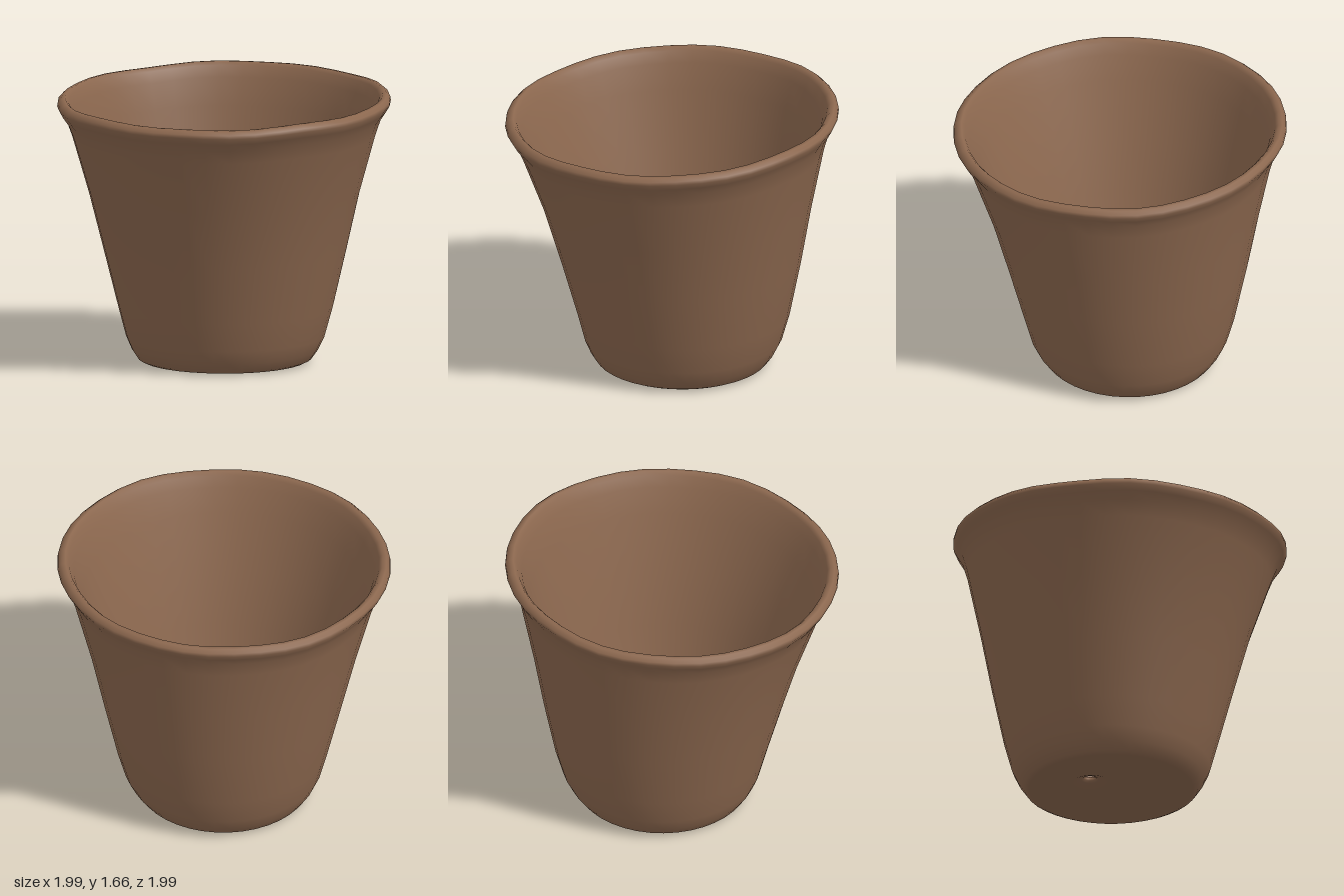
import * as THREE from 'three';

const SEGMENTS = 40;

// Closed section of the pot wall: [radius, height, centre x, centre z],
// from the drain hole across the floor, up inside, over the rim and back under.
const SECTION = [
  [0.036, 0.06, -0.18, 0.03],
  [0.05, 0.075, -0.18, 0.03],
  [0.10, 0.09, -0.17, 0.025],
  [0.28, 0.09, -0.07, -0.03],
  [0.43, 0.095, -0.035, -0.05],
  [0.46, 0.11, -0.035, -0.05],
  [0.50, 0.18, -0.045, -0.05],
  [0.565, 0.34, -0.048, -0.05],
  [0.65, 0.70, -0.04, -0.04],
  [0.74, 1.03, -0.025, -0.022],
  [0.84, 1.38, -0.01, -0.005],
  [0.895, 1.53, 0, 0],
  [0.925, 1.595, 0, 0],
  [0.945, 1.616, 0, 0],
  [0.968, 1.613, 0, 0],
  [0.99, 1.593, 0, 0],
  [0.993, 1.572, 0, 0],
  [0.972, 1.535, 0, 0],
  [0.938, 1.485, -0.002, -0.002],
  [0.905, 1.39, -0.005, -0.005],
  [0.805, 1.03, -0.025, -0.022],
  [0.722, 0.68, -0.04, -0.04],
  [0.638, 0.33, -0.05, -0.052],
  [0.592, 0.16, -0.05, -0.05],
  [0.555, 0.08, -0.05, -0.047],
  [0.518, 0.026, -0.05, -0.045],
  [0.49, 0.012, -0.05, -0.045],
  [0.36, 0.004, -0.06, -0.04],
  [0.12, 0.012, -0.17, 0.02],
  [0.05, 0.035, -0.18, 0.03],
  [0.036, 0.045, -0.18, 0.03],
];

function potGeometry() {
  const positions = [];
  const indices = [];
  for (const [radius, height, cx, cz] of SECTION) {
    // The rim leans and ripples a little, as if shaped by hand
    const sway = THREE.MathUtils.smoothstep(height, 1.1, 1.55);
    for (let i = 0; i < SEGMENTS; i++) {
      const a = (i / SEGMENTS) * Math.PI * 2;
      const x = cx + radius * Math.cos(a);
      const z = cz + radius * Math.sin(a);
      const ripple = 0.004 * Math.sin(5 * a + 1) + 0.003 * Math.sin(9 * a);
      positions.push(x, height + sway * (ripple - 0.026 * x - 0.037 * z), z);
    }
  }
  const rings = SECTION.length;
  for (let j = 0; j < rings; j++) {
    const p = j * SEGMENTS;
    const q = ((j + 1) % rings) * SEGMENTS; // last ring closes the hole
    for (let i = 0; i < SEGMENTS; i++) {
      const k = (i + 1) % SEGMENTS;
      indices.push(p + i, p + k, q + i, p + k, q + k, q + i);
    }
  }
  const geometry = new THREE.BufferGeometry();
  geometry.setAttribute('position', new THREE.Float32BufferAttribute(positions, 3));
  geometry.setIndex(indices);
  geometry.computeVertexNormals();
  return geometry;
}

export function createModel() {
  const clay = new THREE.MeshStandardMaterial({ color: 0x8b674e });
  clay.name = 'brown clay';

  const pot = new THREE.Mesh(potGeometry(), clay);
  pot.name = 'pot';

  const group = new THREE.Group();
  group.name = 'flowerPot';
  group.add(pot);
  return group;
}
